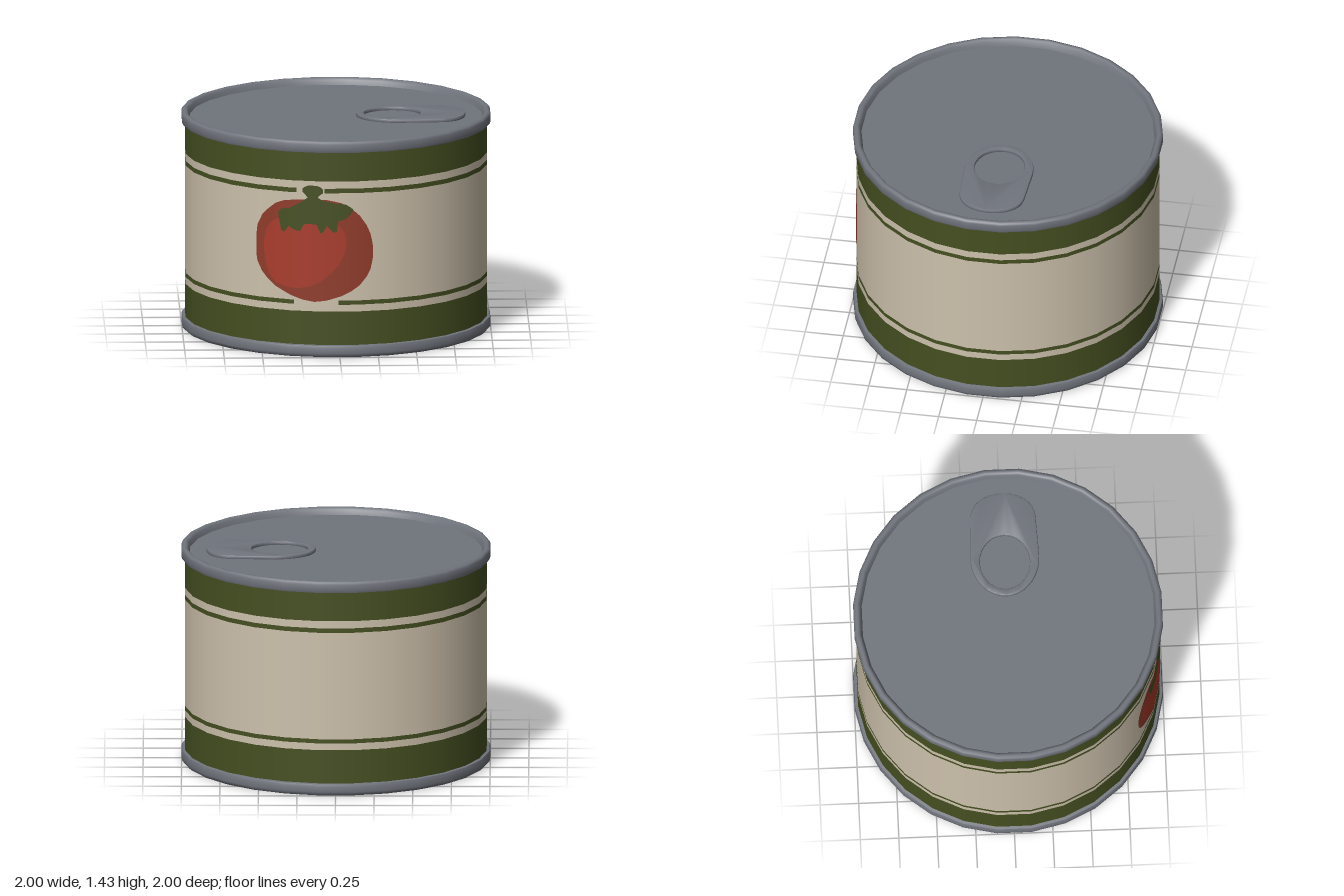
import * as THREE from 'three';
import { toCreasedNormals } from 'three/addons/utils/BufferGeometryUtils.js';

// The can is a 28-sided prism with a flat side facing each axis; R is the distance to its sides
const SEG = 28, STEP = Math.PI * 2 / SEG, CORNER = 1 / Math.cos(STEP / 2), R = 0.977;
const mat = (name, color) => new THREE.MeshStandardMaterial({ name, color });

// Thin patch lying on the can's front sides, from rows of [x, bottom, top]
function wrapPatch(rows, offset) {
  const pos = [], nor = [], idx = [];
  const column = (x, bottom, top) => {
    const theta = Math.asin(x / R), side = STEP * Math.round(theta / STEP);
    const z = (R + offset - x * Math.sin(side)) / Math.cos(side);
    for (const y of [bottom, top]) {
      pos.push(x, y, z);
      nor.push(Math.sin(theta), 0, Math.cos(theta));
    }
  };
  for (let i = 0; i < rows.length - 1; i++) {
    const steps = Math.max(1, Math.ceil((rows[i + 1][0] - rows[i][0]) / 0.02));
    for (let s = 0; s < steps; s++) {
      column(...rows[i].map((v, k) => v + (rows[i + 1][k] - v) * s / steps));
    }
  }
  column(...rows[rows.length - 1]);
  for (let i = 0; i + 3 < pos.length / 3; i += 2) idx.push(i, i + 2, i + 3, i, i + 3, i + 1);
  const g = new THREE.BufferGeometry();
  g.setAttribute('position', new THREE.Float32BufferAttribute(pos, 3));
  g.setAttribute('normal', new THREE.Float32BufferAttribute(nor, 3));
  g.setIndex(idx);
  return g;
}

// Open band around the can
const band = (y0, y1) =>
  new THREE.CylinderGeometry(R * CORNER, R * CORNER, y1 - y0, SEG, 1, true, STEP / 2)
    .translate(0, (y0 + y1) / 2, 0);

const lathe = (pts) => toCreasedNormals(new THREE.LatheGeometry(
  pts.map(([r, y]) => new THREE.Vector2(r * CORNER, y)), SEG, STEP / 2), 0.9);

export function createModel() {
  const metal = mat('metal', 0x70747c);
  const cream = mat('cream paper', 0xcdc1ac);
  const green = mat('green print', 0x454f21);
  const red = mat('bright red', 0xa93b2b);
  const darkRed = mat('dark red', 0x8f3b2a);

  const can = new THREE.Group();
  can.name = 'foodCan';
  const add = (name, geometry, material) => {
    const m = new THREE.Mesh(geometry, material);
    m.name = name;
    can.add(m);
    return m;
  };

  // Metal ends with raised rims
  add('bottomEnd', lathe([[0, 0.015], [0.95, 0.015], [0.96, 0.004], [0.97, 0], [0.985, 0],
    [0.997, 0.01], [1, 0.025], [1, 0.06], [0.995, 0.075], [0.97, 0.08]]), metal);
  add('topEnd', lathe([[0.97, 1.352], [0.995, 1.356], [1, 1.37], [1, 1.41], [0.995, 1.424],
    [0.98, 1.43], [0.965, 1.427], [0.956, 1.415], [0.945, 1.384], [0, 1.384]]), metal);

  // Label, stacked from the bottom up
  const edges = [0.075, 0.3, 0.345, 0.373, 1.085, 1.115, 1.163, 1.36];
  for (let i = 0; i < edges.length - 1; i++) {
    const isGreen = i % 2 === 0;
    add(isGreen ? 'greenBand' : 'creamBand', band(edges[i], edges[i + 1]), isGreen ? green : cream);
  }

  // Breaks in the stripes around the tomato
  add('lowerStripeGap', wrapPatch([[-0.295, 0.34, 0.378], [-0.01, 0.34, 0.378]], 0.0015), cream);
  add('upperStripeGap', wrapPatch([[-0.28, 1.08, 1.12], [-0.1, 1.08, 1.12]], 0.0015), cream);

  // Printed tomato
  add('tomato', wrapPatch([
    [-0.537, 0.66, 0.78], [-0.53, 0.61, 0.85], [-0.5, 0.545, 0.92], [-0.465, 0.5, 0.96],
    [-0.415, 0.455, 1.005], [-0.36, 0.425, 1.028], [-0.31, 0.4, 1.035], [-0.24, 0.375, 1.038],
    [-0.165, 0.363, 1.04], [-0.08, 0.375, 1.04], [0.01, 0.402, 1.02], [0.075, 0.435, 0.985],
    [0.13, 0.475, 0.935], [0.175, 0.53, 0.87], [0.2, 0.58, 0.81], [0.213, 0.64, 0.75],
    [0.217, 0.68, 0.71]], 0.003), darkRed);
  add('tomatoHighlight', wrapPatch([
    [-0.487, 0.68, 0.76], [-0.475, 0.59, 0.82], [-0.45, 0.525, 0.87], [-0.41, 0.48, 0.9],
    [-0.35, 0.456, 0.91], [-0.27, 0.45, 0.92], [-0.19, 0.465, 0.92], [-0.125, 0.498, 0.92],
    [-0.06, 0.55, 0.9], [-0.005, 0.61, 0.87], [0.03, 0.68, 0.83], [0.043, 0.74, 0.78]],
  0.0045), red);
  add('tomatoLeaves', wrapPatch([
    [-0.395, 0.92, 0.95], [-0.378, 0.83, 0.972], [-0.36, 0.82, 0.975], [-0.33, 0.86, 0.98],
    [-0.29, 0.835, 1.0], [-0.255, 0.83, 1.02], [-0.235, 0.875, 1.035], [-0.2, 0.88, 1.06],
    [-0.15, 0.875, 1.06], [-0.125, 0.82, 1.045], [-0.105, 0.83, 1.035], [-0.085, 0.87, 1.03],
    [-0.04, 0.825, 1.02], [-0.02, 0.83, 1.015], [-0.01, 0.9, 1.018], [0.04, 0.915, 1.01],
    [0.065, 0.94, 0.995], [0.085, 0.965, 0.98]], 0.006), green);
  add('tomatoStem', wrapPatch([
    [-0.24, 1.09, 1.115], [-0.225, 1.075, 1.125], [-0.205, 1.05, 1.134], [-0.15, 1.05, 1.134],
    [-0.125, 1.075, 1.125], [-0.11, 1.085, 1.112]], 0.006), green);

  // Pull tab with a finger hole
  const outline = new THREE.Shape();
  outline.moveTo(0.4, -0.215);
  outline.lineTo(0.68, -0.202);
  outline.bezierCurveTo(0.78, -0.19, 0.83, -0.1, 0.83, 0);
  outline.bezierCurveTo(0.83, 0.1, 0.78, 0.19, 0.68, 0.202);
  outline.lineTo(0.4, 0.215);
  outline.bezierCurveTo(0.25, 0.215, 0.14, 0.11, 0.14, 0);
  outline.bezierCurveTo(0.14, -0.11, 0.25, -0.215, 0.4, -0.215);
  outline.holes.push(new THREE.Path().absellipse(0.365, 0, 0.193, 0.172, 0, Math.PI * 2, true));
  const tab = new THREE.ExtrudeGeometry(outline, {
    depth: 0.012, bevelEnabled: true, bevelThickness: 0.008, bevelSize: 0.009,
    bevelSegments: 2, curveSegments: 14 });
  add('pullTab', toCreasedNormals(tab.rotateX(-Math.PI / 2), 0.5), metal)
    .position.set(0, 1.388, -0.005);

  return can;
}
